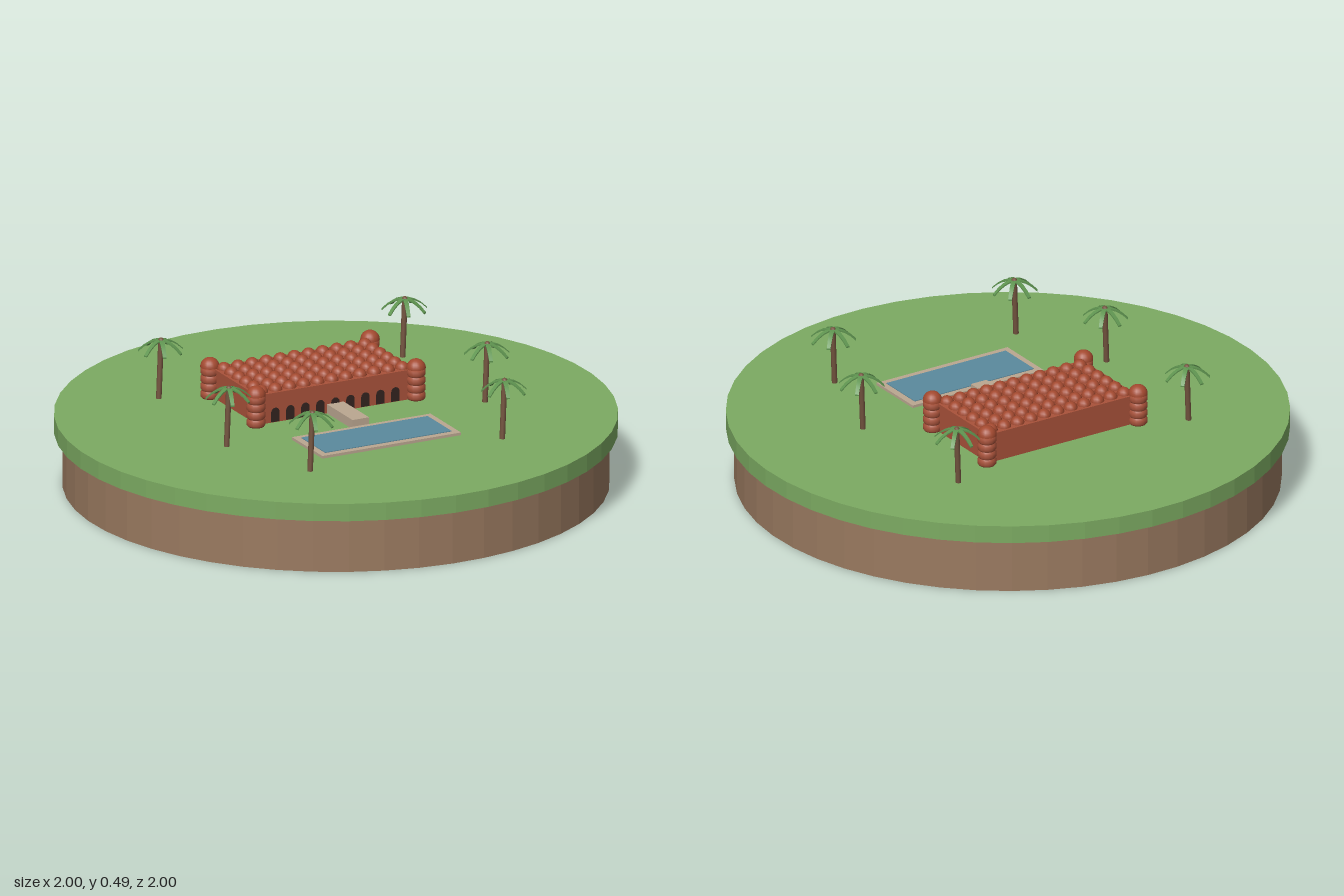
import * as THREE from 'three';

const paint = (name, color, extra = {}) => Object.assign(new THREE.MeshStandardMaterial({ color, ...extra }), { name });

export function createModel() {
  const grass = paint('grass', 0x7cab62, { flatShading: true });
  const earth = paint('earth', 0x9a7a60, { flatShading: true });
  const brick = paint('brick', 0xa9523a);
  const clay = paint('clay dome', 0xa3492f);
  const shade = paint('arch shadow', 0x33231f);
  const stone = paint('stone', 0xbba791);
  const water = paint('water', 0x5b8a9e);
  const bark = paint('bark', 0x74543f);
  const leaf = paint('palm leaf', 0x5f9450, { side: THREE.DoubleSide });

  const root = new THREE.Group();
  const add = (parent, name, geometry, material, x = 0, y = 0, z = 0) => {
    const mesh = new THREE.Mesh(geometry, material);
    mesh.name = name;
    mesh.position.set(x, y, z);
    parent.add(mesh);
    return mesh;
  };
  const box = (w, h, d) => new THREE.BoxGeometry(w, h, d);
  const ground = 0.265;

  // Island
  add(root, 'earthBase', new THREE.CylinderGeometry(0.97, 0.97, 0.2, 48), earth, 0, 0.1, 0);
  add(root, 'grassDisc', new THREE.CylinderGeometry(1, 1, 0.065, 48), grass, 0, 0.2325, 0);

  // Everything built shares one turned frame
  const site = new THREE.Group();
  site.name = 'courtyard';
  site.position.set(0.06, ground, -0.165);
  site.rotation.y = -0.35;
  root.add(site);

  // Hall with a thin roof slab
  const width = 0.62, depth = 0.34, wall = 0.1;
  add(site, 'hallWalls', box(width, wall, depth), brick, 0, wall / 2, 0);
  add(site, 'roofSlab', box(width + 0.01, 0.012, depth + 0.01), brick, 0, wall + 0.006, 0);

  // Grid of roof domes
  const dome = new THREE.SphereGeometry(0.026, 12, 5, 0, Math.PI * 2, 0, Math.PI / 2);
  const cols = 11, rows = 6;
  for (let i = 0; i < cols; i++) {
    for (let j = 0; j < rows; j++) {
      add(site, 'roofDome', dome, clay,
        (i - (cols - 1) / 2) * width / cols, wall + 0.01, (j - (rows - 1) / 2) * depth / rows);
    }
  }

  // Arched openings along the front
  const arch = new THREE.Shape();
  arch.moveTo(-0.016, 0);
  arch.lineTo(0.016, 0);
  arch.lineTo(0.016, 0.036);
  arch.absarc(0, 0.036, 0.016, 0, Math.PI, false);
  arch.closePath();
  const archPlate = new THREE.ExtrudeGeometry(arch, { depth: 0.003, bevelEnabled: false, curveSegments: 8 });
  for (let i = -4; i <= 4; i++) add(site, 'archOpening', archPlate, shade, i * 0.06, 0.002, depth / 2);

  // Corner towers: stacked bulging drums under a dome
  const profile = [new THREE.Vector2(0, 0)];
  for (let k = 0; k < 4; k++) {
    const y = k * 0.029;
    profile.push(new THREE.Vector2(0.029, y), new THREE.Vector2(0.034, y + 0.007),
      new THREE.Vector2(0.034, y + 0.021), new THREE.Vector2(0.029, y + 0.028));
  }
  profile.push(new THREE.Vector2(0, 0.116));
  const drums = new THREE.LatheGeometry(profile, 16);
  const cap = new THREE.SphereGeometry(0.035, 16, 8, 0, Math.PI * 2, 0, Math.PI / 2);
  for (const sx of [-1, 1]) {
    for (const sz of [-1, 1]) {
      add(site, 'cornerTower', drums, brick, sx * 0.32, 0, sz * 0.176);
      add(site, 'towerDome', cap, clay, sx * 0.32, 0.115, sz * 0.176);
    }
  }

  // Raised walk and pool
  add(site, 'entranceWalk', box(0.066, 0.034, 0.195), stone, 0, 0.017, 0.268);
  add(site, 'poolRim', box(0.554, 0.01, 0.233), stone, 0, 0.005, 0.485);
  add(site, 'poolWater', box(0.505, 0.004, 0.183), water, 0, 0.0105, 0.485);

  // Frond: a flat strip that droops and narrows outward
  const frond = box(0.082, 0.005, 0.018, 4, 1, 1).translate(0.041, 0, 0);
  const bent = new THREE.BoxGeometry(0.082, 0.005, 0.018, 4, 1, 1).translate(0.041, 0, 0);
  frond.dispose();
  const p = bent.attributes.position;
  for (let i = 0; i < p.count; i++) {
    const t = p.getX(i) / 0.082;
    p.setY(i, p.getY(i) + 0.008 * t - 0.048 * t * t);
    p.setZ(i, p.getZ(i) * (1 - 0.25 * t));
  }
  bent.computeVertexNormals();

  // Palms with a slightly leaning trunk
  const trunk = new THREE.TubeGeometry(new THREE.QuadraticBezierCurve3(
    new THREE.Vector3(-0.016, 0, 0.004), new THREE.Vector3(-0.008, 0.1, 0.002),
    new THREE.Vector3(0, 0.215, 0)), 6, 0.01, 8);
  const spots = [[-0.295, -0.57], [0.62, -0.235], [-0.52, -0.04], [-0.52, 0.36], [0.455, 0.31], [0.2, 0.625]];
  for (const [x, z] of spots) {
    const palm = new THREE.Group();
    palm.name = 'palm';
    palm.position.set(x, ground, z);
    root.add(palm);
    add(palm, 'palmTrunk', trunk, bark);
    add(palm, 'palmCrown', new THREE.SphereGeometry(0.011, 8, 6), bark, 0, 0.212, 0);
    for (let i = 0; i < 7; i++) {
      add(palm, 'palmFrond', bent, leaf, 0, 0.213, 0).rotation.y = -0.44 - i * Math.PI * 2 / 7;
    }
  }
  return root;
}
